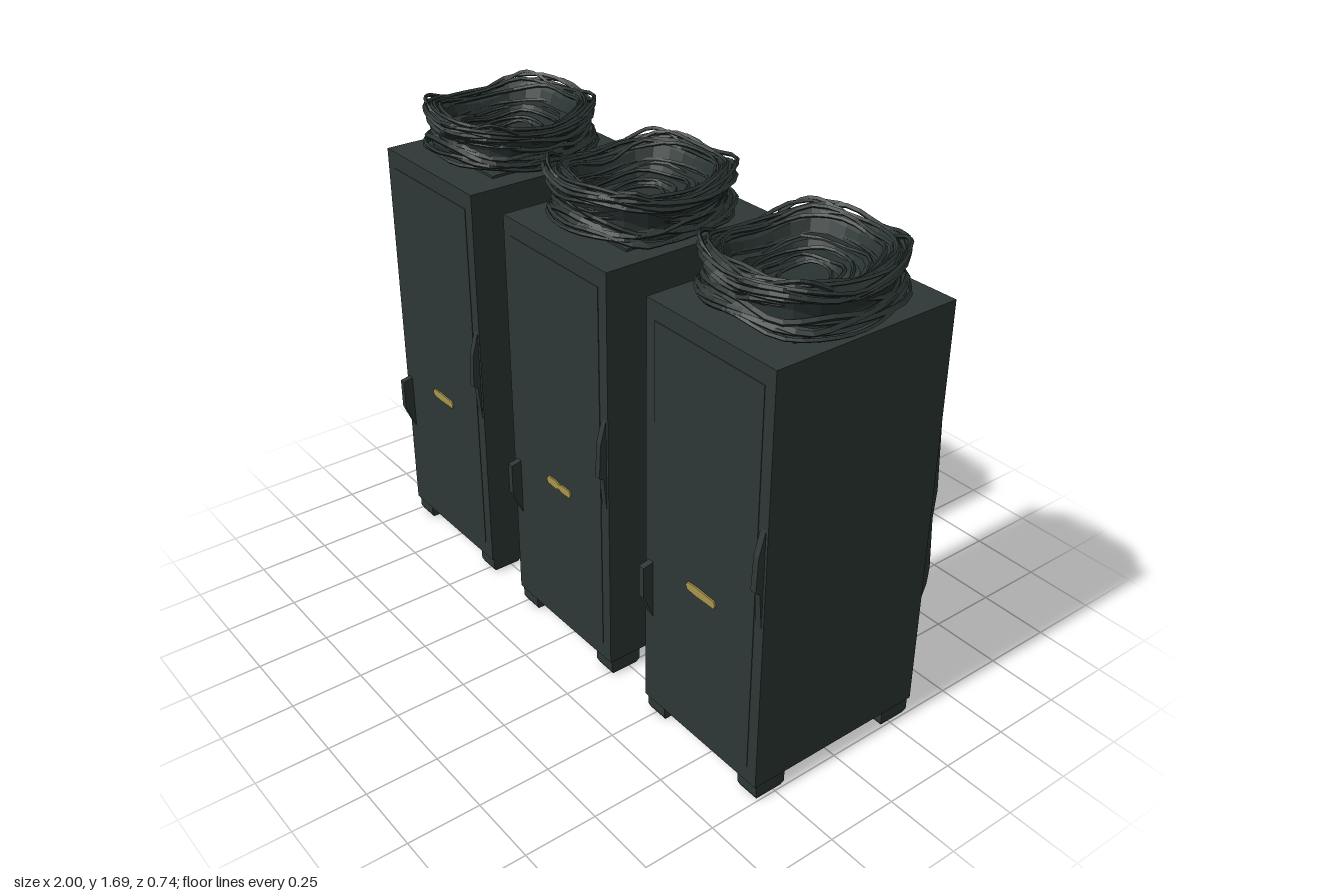
import * as THREE from 'three';

const bodyMat = new THREE.MeshStandardMaterial({ color: 0x2e3836, flatShading: true });
const coilMat = new THREE.MeshStandardMaterial({ color: 0x293331, flatShading: true, side: THREE.DoubleSide });
const goldMat = new THREE.MeshStandardMaterial({ color: 0xa8954a, flatShading: true });

const HALF_W = 0.27, HALF_D = 0.334, BASE = 0.06, TOP = 1.5;

// small seeded generator
function seeded(seed) {
  let s = seed;
  return () => (s = (s * 16807) % 2147483647) / 2147483647;
}

function add(parent, name, geometry, material, x = 0, y = 0, z = 0) {
  const mesh = new THREE.Mesh(geometry, material);
  mesh.name = name;
  mesh.position.set(x, y, z);
  parent.add(mesh);
  return mesh;
}

// turns a round ring point into a rounded square, raised at its corners
function warp(v) {
  const r = Math.hypot(v.x, v.z);
  if (r < 1e-5) return v;
  const a = Math.atan2(v.z, v.x);
  const c = Math.abs(Math.cos(a)), s = Math.abs(Math.sin(a));
  const f = Math.pow(c ** 3 + s ** 3, -1 / 3), k = r / 0.25;
  v.x *= f * 0.95;
  v.z *= f * 1.06;
  v.y -= 0.014 * Math.cos(2 * a) * k;
  if (v.y > 1.57) v.y += 0.012 * (1 - Math.cos(4 * a)) * k;
  return v;
}

function makeCoil(seed) {
  const rnd = seeded(seed), coil = new THREE.Group();
  coil.name = 'cableCoil';

  // bundled core with a stepped bowl in the middle
  const profile = [[0, 1.522], [0.2, 1.522], [0.24, 1.535], [0.235, 1.57], [0.25, 1.62], [0.225, 1.645],
    [0.2, 1.625], [0.185, 1.59], [0.15, 1.59], [0.14, 1.57], [0.1, 1.57], [0.09, 1.56], [0, 1.56]];
  const core = new THREE.LatheGeometry(profile.map(p => new THREE.Vector2(...p)), 24);
  const pos = core.attributes.position, v = new THREE.Vector3();
  for (let i = 0; i < pos.count; i++) {
    warp(v.fromBufferAttribute(pos, i));
    pos.setXYZ(i, v.x, v.y, v.z);
  }
  core.computeVertexNormals();
  add(coil, 'coilCore', core, coilMat);

  // loose strands wound round the core
  const strand = (radius, y, wobble, thick, sides) => {
    const pts = [], phase = rnd() * 6.28;
    for (let i = 0; i < sides; i++) {
      const a = i / sides * Math.PI * 2 + phase;
      const r = radius + (rnd() - 0.5) * wobble;
      pts.push(warp(new THREE.Vector3(Math.cos(a) * r, y + (rnd() - 0.5) * wobble * 1.3, Math.sin(a) * r)));
    }
    const path = new THREE.CatmullRomCurve3(pts, true);
    add(coil, 'strand', new THREE.TubeGeometry(path, sides * 3, thick, 4, true), coilMat);
  };
  for (let i = 0; i < 16; i++) {
    const t = i / 15;
    strand(0.245 + 0.012 * Math.cos(t * 6.28), 1.528 + t * 0.115, 0.022, 0.007 + rnd() * 0.004, 12);
  }
  for (let i = 0; i < 4; i++) strand(0.205 + i * 0.01, 1.635 + i * 0.004, 0.022, 0.007, 11);
  for (const r of [0.19, 0.165, 0.135, 0.1, 0.07]) strand(r, 1.55 + r * 0.23, 0.01, 0.006, 8);

  // arched loose ends on the four corners
  for (const sx of [-1, 1]) for (const sz of [-1, 1]) {
    const pts = [[0.07, 1.64, 0.24], [0.15, 1.675, 0.235], [0.205, 1.688, 0.2], [0.235, 1.655, 0.12]]
      .map(([x, y, z]) => new THREE.Vector3(sx * x, y - rnd() * 0.012, sz * z));
    add(coil, 'looseLoop', new THREE.TubeGeometry(new THREE.CatmullRomCurve3(pts), 10, 0.007, 4), coilMat);
  }
  return coil;
}

// foot tapering towards the floor
function footGeometry() {
  const g = new THREE.BoxGeometry(0.086, 0.07, 0.115, 1, 2, 1);
  const p = g.attributes.position;
  for (let i = 0; i < p.count; i++) {
    if (p.getY(i) < -0.01) {
      p.setX(i, p.getX(i) * 0.86);
      p.setZ(i, p.getZ(i) * 0.86);
    } else if (Math.abs(p.getY(i)) < 0.01) p.setY(i, -0.018);
  }
  g.computeVertexNormals();
  return g;
}

// flat plate from an outline of [u, y] points
function plate(points, depth) {
  const g = new THREE.ExtrudeGeometry(new THREE.Shape(points.map(p => new THREE.Vector2(...p))),
    { depth, bevelEnabled: false });
  return g.translate(0, 0, -depth / 2);
}

// outlines as [distance out, height]
const hinge = [[-0.01, 0.4], [0, 0.4], [0.038, 0.49], [0.038, 0.6], [-0.01, 0.61]];
const latch = [[-0.01, 0.64], [0, 0.66], [0.012, 0.79], [0.028, 0.8], [0.022, 0.92], [0, 1.0], [-0.01, 1.0]];
const ridge = [[-0.01, 0.4], [0, 0.42], [0.03, 0.5], [0.036, 0.56], [0.022, 0.75], [0.03, 0.85], [0, 1.3], [-0.01, 1.3]];

function addFin(parent, name, outline, x, front) {
  const g = plate(outline, 0.022);
  g.rotateY(front ? -Math.PI / 2 : Math.PI / 2);
  add(parent, name, g, bodyMat, x, 0, front ? HALF_D : -HALF_D);
}

function makeCabinet(x, index, backRidges) {
  const cabinet = new THREE.Group();
  cabinet.name = 'cabinet';
  cabinet.position.x = x;
  const h = TOP - BASE, mid = (TOP + BASE) / 2;
  add(cabinet, 'cabinetBody', new THREE.BoxGeometry(HALF_W * 2, h, HALF_D * 2), bodyMat, 0, mid, 0);
  add(cabinet, 'door', new THREE.BoxGeometry(0.46, 1.32, 0.004), bodyMat, 0, mid, HALF_D);
  add(cabinet, 'topPlate', new THREE.BoxGeometry(0.38, 0.016, 0.4), bodyMat, 0, TOP, 0);
  add(cabinet, 'coilPost', new THREE.CylinderGeometry(0.006, 0.006, 0.05, 6), bodyMat, 0, TOP + 0.015, 0);

  const foot = footGeometry();
  for (const sx of [-1, 1]) for (const sz of [-1, 1])
    add(cabinet, 'foot', foot, bodyMat, sx * 0.223, 0.035, sz * 0.268);

  // hardware on the vertical edges
  addFin(cabinet, 'hinge', hinge, -0.244, true);
  addFin(cabinet, 'latch', latch, 0.25, true);
  for (const sx of backRidges) addFin(cabinet, 'backRidge', ridge, sx * 0.248, false);

  // gold pull, pinched in the middle on the centre cabinet
  const waist = index === 1 ? 0.009 : 0.015;
  const half = [[-0.067, 0], [-0.06, -0.013], [-0.015, -0.016], [0, -waist], [0.02, -0.014], [0.062, -0.013], [0.067, 0]];
  const outline = [...half, ...half.slice(1, -1).reverse().map(([u, y]) => [u, -y])];
  add(cabinet, 'handle', plate(outline, 0.009), goldMat, 0, 0.627, HALF_D + 0.003);

  cabinet.add(makeCoil(101 + index * 977));
  return cabinet;
}

export function createModel() {
  const model = new THREE.Group();
  model.name = 'cabinetRow';
  const backRidges = [[-1], [1], [-1, 1]];
  [-0.73, 0, 0.73].forEach((x, i) => model.add(makeCabinet(x, i, backRidges[i])));
  // small gold tab on the back of the first cabinet
  add(model, 'backTab', new THREE.BoxGeometry(0.045, 0.01, 0.006), goldMat, -0.73, 0.627, -HALF_D);
  return model;
}
